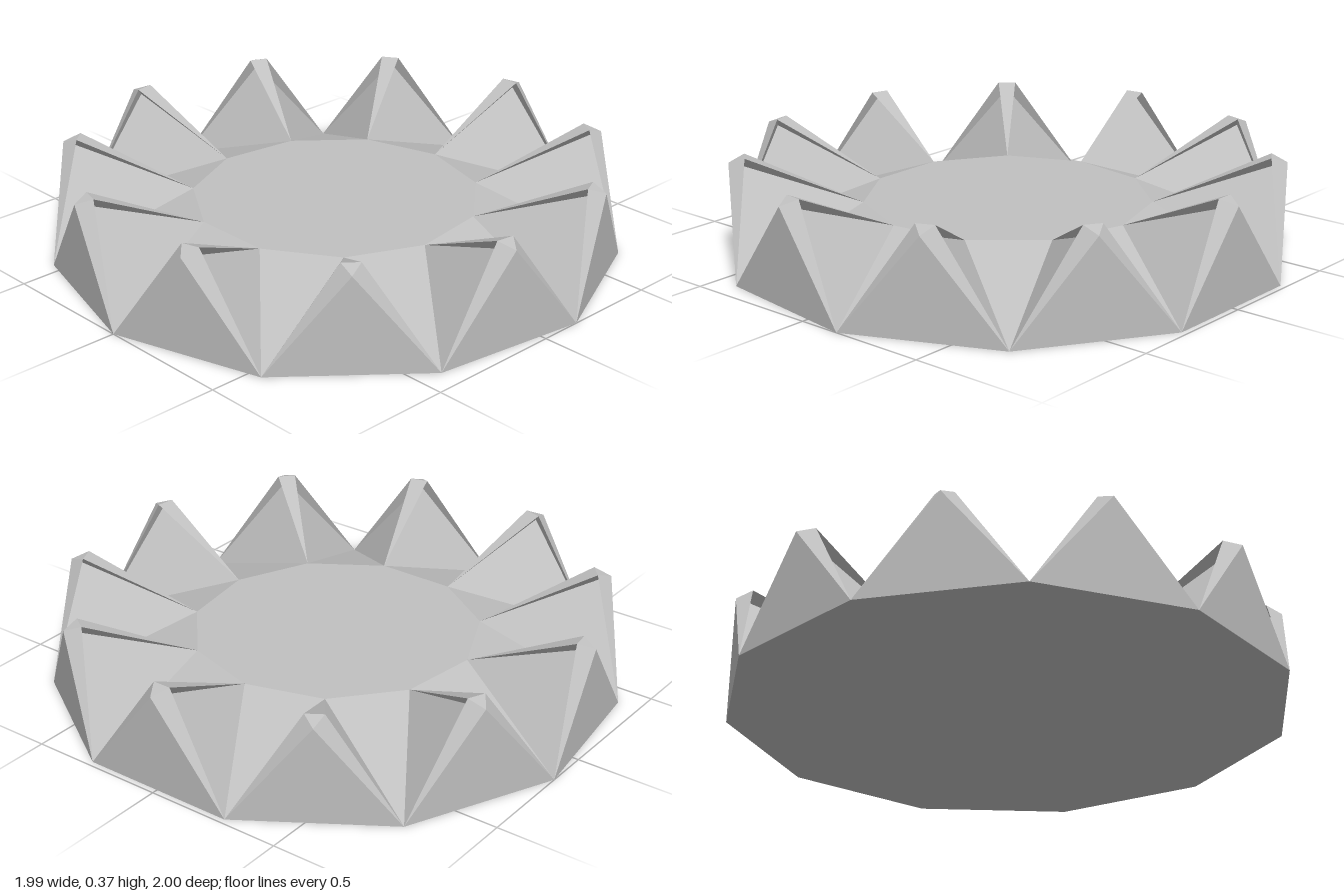
import * as THREE from 'three';

const SIDES = 11;
const STEP = (Math.PI * 2) / SIDES;
const CENTRE_X = 0.0103;

export function createModel() {
  const group = new THREE.Group();
  group.name = 'spikedDisc';
  const grey = new THREE.MeshStandardMaterial({ color: 0xc0c0c0, flatShading: true });
  grey.name = 'grey';

  // Radial distance, height and sideways offset, turned to an angle
  const point = (angle, r, y, t = 0) => {
    const c = Math.cos(angle), s = Math.sin(angle);
    return [CENTRE_X + r * c - t * s, y, r * s + t * c];
  };

  const addMesh = (name, triangles) => {
    const geometry = new THREE.BufferGeometry();
    geometry.setAttribute('position', new THREE.Float32BufferAttribute(triangles.flat(2), 3));
    geometry.computeVertexNormals();
    const mesh = new THREE.Mesh(geometry, grey);
    mesh.name = name;
    group.add(mesh);
  };

  const outer = (angle) => point(angle, 1.0103, 0);
  const inner = (angle) => point(angle, 0.514, 0.188);
  const base = [], floor = [], valleys = [];

  for (let i = 0; i < SIDES; i++) {
    const a = i * STEP;
    const rim = { [1]: outer(a + STEP / 2), [-1]: outer(a - STEP / 2) };
    const foot = inner(a), nextFoot = inner(a + STEP);

    // Flat underside, raised centre and the slopes between spikes
    base.push([[CENTRE_X, 0, 0], rim[-1], rim[1]]);
    floor.push([[CENTRE_X, 0.188, 0], nextFoot, foot]);
    valleys.push([rim[1], foot, nextFoot]);

    // Spike: outer face, thin top ridge and overhanging lip on both sides
    const tip = point(a, 0.978, 0.352);
    const neck = point(a, 0.94, 0.342);
    const top = { [1]: point(a, 0.922, 0.373, 0.033), [-1]: point(a, 0.922, 0.373, -0.033) };
    const spike = [
      [rim[1], rim[-1], tip],
      [foot, top[1], top[-1]],
      [top[-1], top[1], tip],
    ];
    for (const s of [1, -1]) {
      const half = [
        [rim[s], neck, foot],
        [foot, neck, top[s]],
        [neck, rim[s], top[s]],
        [top[s], rim[s], tip],
      ];
      spike.push(...half.map((f) => (s > 0 ? f : [f[0], f[2], f[1]])));
    }
    addMesh('spike' + (i + 1), spike);
  }

  addMesh('base', base);
  addMesh('floor', floor);
  addMesh('valleys', valleys);
  return group;
}
